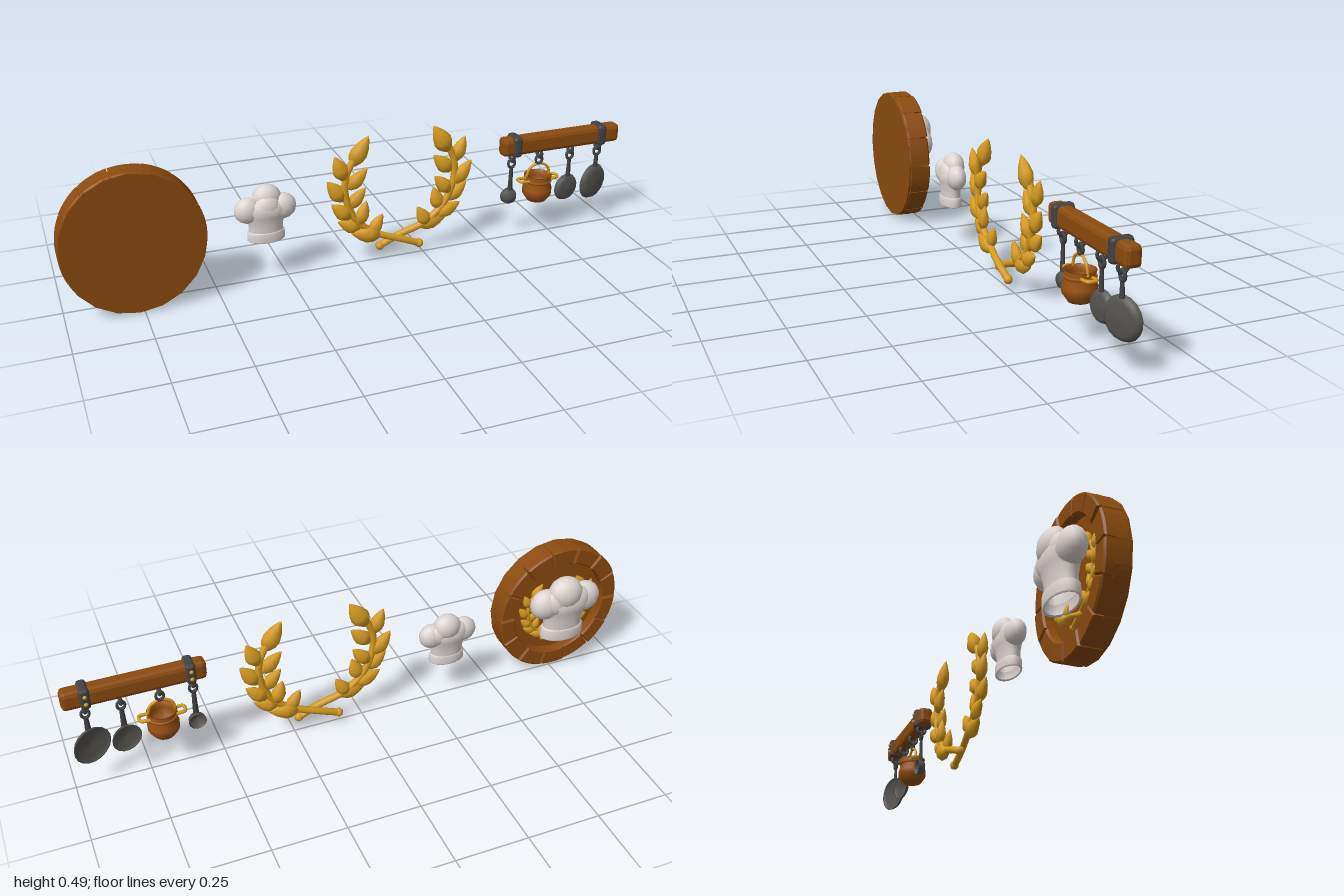
import * as THREE from 'three';
import { RoundedBoxGeometry } from 'three/addons/geometries/RoundedBoxGeometry.js';

const mat = (name, color, opts = {}) => {
  const m = new THREE.MeshStandardMaterial({ color, ...opts });
  m.name = name;
  return m;
};
const wood = mat('wood', 0x8b4b0e, { flatShading: true });
const copper = mat('copper', 0x9a5212, { side: THREE.DoubleSide });
const gold = mat('gold', 0xd79c20);
const cloth = mat('white cloth', 0xded5d2, { side: THREE.DoubleSide });
const iron = mat('dark iron', 0x434345);
const steel = mat('grey steel', 0x55534f, { side: THREE.DoubleSide });

const V2 = (pts) => pts.map(([x, y]) => new THREE.Vector2(x, y));

function add(parent, name, geo, material, x = 0, y = 0, z = 0) {
  const m = new THREE.Mesh(geo, material);
  m.name = name;
  m.position.set(x, y, z);
  parent.add(m);
  return m;
}

function group(parent, name, x = 0, y = 0, z = 0, s = 1) {
  const g = new THREE.Group();
  g.name = name;
  g.position.set(x, y, z);
  g.scale.setScalar(s);
  parent.add(g);
  return g;
}

function tube(points, r, sides = 8) {
  const curve = new THREE.CatmullRomCurve3(points.map((p) => new THREE.Vector3(...p)));
  return new THREE.TubeGeometry(curve, 20, r, sides);
}

// Puffy hat, open below, standing on y = 0
function makeHat(parent, name, x, y, z, s) {
  const hat = group(parent, name, x, y, z, s);
  const body = add(hat, 'hatBody', new THREE.LatheGeometry(V2([[0.058, 0.03], [0.059, 0.06], [0.068, 0.09], [0.08, 0.115], [0.06, 0.14], [0, 0.155]]), 20), cloth);
  body.scale.z = 0.55;
  const band = add(hat, 'hatBand', new THREE.LatheGeometry(V2([[0.056, 0.004], [0.06, 0], [0.065, 0.004], [0.064, 0.032], [0.058, 0.036]]), 20), cloth);
  band.scale.z = 0.58;
  // puffs: position, then radii
  [
    [-0.06, 0.114, 0, 0.046, 0.045, 0.034],
    [0.06, 0.114, 0, 0.046, 0.045, 0.034],
    [0.008, 0.146, -0.01, 0.05, 0.048, 0.038],
    [0.004, 0.12, 0.012, 0.045, 0.045, 0.03],
    [-0.028, 0.12, -0.012, 0.042, 0.04, 0.026],
    [0.035, 0.12, -0.012, 0.042, 0.04, 0.026],
  ].forEach(([px, py, pz, rx, ry, rz]) => {
    add(hat, 'hatPuff', new THREE.SphereGeometry(1, 14, 10), cloth, px, py, pz).scale.set(rx, ry, rz);
  });
}

// Wreath of two crossed, mirrored branches; leaves as base x, y then tip x, y
const LEAVES = [
  [-0.18, 0.37, -0.118, 0.472], [-0.205, 0.325, -0.243, 0.417],
  [-0.205, 0.245, -0.267, 0.327], [-0.185, 0.18, -0.255, 0.245],
  [-0.145, 0.13, -0.23, 0.172], [-0.195, 0.29, -0.125, 0.36],
  [-0.19, 0.215, -0.128, 0.285], [-0.155, 0.15, -0.128, 0.24],
  [-0.11, 0.1, -0.065, 0.178], [-0.075, 0.098, -0.185, 0.125],
];
const leafGeo = new THREE.LatheGeometry(V2([[0, 0], [0.12, 0.06], [0.25, 0.25], [0.28, 0.42], [0.21, 0.66], [0.09, 0.88], [0, 1]]), 8);

function makeWreath(parent, name, x, y, z, s) {
  const wreath = group(parent, name, x, y, z, s);
  for (const side of [1, -1]) {
    const branch = group(wreath, side > 0 ? 'rightBranch' : 'leftBranch', 0, 0, side * 0.008);
    if (side < 0) branch.rotation.y = Math.PI;
    const stem = [[0.07, 0.043, 0.006], [0, 0.073, 0.008], [-0.095, 0.11, 0], [-0.165, 0.17, 0], [-0.203, 0.265, 0], [-0.2, 0.34, 0], [-0.165, 0.41, 0]];
    add(branch, 'stem', tube(stem, 0.0125), gold);
    add(branch, 'stemEnd', new THREE.SphereGeometry(0.016, 8, 6), gold, 0.068, 0.044, 0.006);
    LEAVES.forEach(([bx, by, tx, ty], i) => {
      const leaf = add(branch, 'leaf', leafGeo, gold, bx, by, i % 2 ? 0.004 : -0.004);
      const len = Math.hypot(tx - bx, ty - by);
      leaf.rotation.z = Math.atan2(bx - tx, ty - by);
      leaf.scale.set(len, len, len * 0.7);
    });
  }
}

// Round plaque: flat front, recessed back with a rim of wooden blocks
function makePlaque(parent) {
  const plaque = group(parent, 'plaque', -0.766, 0.246, 0);
  const disc = group(plaque, 'board');
  disc.scale.y = 1.042;
  const board = add(disc, 'boardPanel', new THREE.CylinderGeometry(0.233, 0.235, 0.05, 20), wood, 0, 0, 0.058);
  board.rotation.x = Math.PI / 2;
  const count = 14, step = (Math.PI * 2) / count, gap = 0.028;
  for (let i = 0; i < count; i++) {
    const a = i * step + gap, b = (i + 1) * step - gap;
    const shape = new THREE.Shape();
    shape.absarc(0, 0, 0.229, a, b, false);
    shape.absarc(0, 0, 0.181, b, a, true);
    const geo = new THREE.ExtrudeGeometry(shape, {
      depth: 0.068, curveSegments: 3, bevelEnabled: true, bevelThickness: 0.006, bevelSize: 0.005, bevelSegments: 1,
    });
    add(disc, 'rimBlock', geo, wood, 0, 0, 0.007 - (i % 3) * 0.002);
  }
}

// Two interlocked links under the bar
function makeLinks(parent) {
  const link = new THREE.TorusGeometry(0.016, 0.006, 6, 12);
  add(parent, 'upperLink', link, iron, 0, 0.314, 0).rotation.y = Math.PI / 2;
  add(parent, 'lowerLink', link, iron, 0, 0.29, 0).scale.set(0.8, 1, 1);
}

// Shallow bowl opening to the back, on a straight handle
function makePan(parent, name, x, r, cy, depth, turn, material) {
  const pan = group(parent, name, x, 0, 0);
  makeLinks(pan);
  const top = 0.278, bottom = cy + r * 0.9;
  const handle = add(pan, 'handle', new THREE.CylinderGeometry(0.007, 0.01, top - bottom, 8), iron, 0, (top + bottom) / 2, 0);
  handle.scale.z = 0.7;
  const profile = V2([[0, 0], [r * 0.7, depth * 0.12], [r * 0.9, depth * 0.45], [r, depth], [r * 0.93, depth], [r * 0.8, depth * 0.6], [0, depth * 0.35]]);
  const bowl = group(pan, 'bowlPivot', 0, cy, 0);
  bowl.rotation.y = turn;
  add(bowl, 'bowl', new THREE.LatheGeometry(profile, 18), material, 0, 0, depth / 2).rotation.x = -Math.PI / 2;
}

function makePot(parent) {
  const pot = group(parent, 'cookingPot', 0.692, 0, 0);
  makeLinks(pot);
  add(pot, 'potBody', new THREE.LatheGeometry(V2([[0, 0.133], [0.035, 0.135], [0.052, 0.16], [0.053, 0.18], [0.044, 0.212], [0.05, 0.23], [0.044, 0.231], [0.038, 0.212], [0.045, 0.175], [0, 0.15]]), 16), copper);
  const collar = add(pot, 'potCollar', new THREE.TorusGeometry(0.046, 0.005, 6, 18), copper, 0, 0.211, 0);
  collar.rotation.x = Math.PI / 2;
  add(pot, 'bail', tube([[-0.047, 0.222, 0], [-0.035, 0.258, 0], [0, 0.275, 0], [0.035, 0.258, 0], [0.047, 0.222, 0]], 0.005, 6), gold);
  for (const s of [-1, 1]) {
    add(pot, 'sideHandle', tube([[s * 0.042, 0.215, 0.018], [s * 0.072, 0.217, 0.014], [s * 0.076, 0.217, 0], [s * 0.072, 0.217, -0.014], [s * 0.042, 0.215, -0.018]], 0.006, 6), gold);
  }
}

// Hanging bar with iron straps, pot, ladle and two pans
function makeRack(parent) {
  const rack = group(parent, 'utensilRack');
  add(rack, 'bar', new RoundedBoxGeometry(0.46, 0.066, 0.052, 1, 0.014), wood, 0.765, 0.36, 0.005);
  for (const x of [0.588, 0.922]) {
    add(rack, 'strap', new RoundedBoxGeometry(0.034, 0.076, 0.07, 1, 0.012), iron, x, 0.361, 0.005);
    for (const y of [0.347, 0.375]) {
      add(rack, 'rivet', new THREE.SphereGeometry(0.007, 8, 6), gold, x, y, -0.03);
    }
  }
  makePan(rack, 'ladle', 0.583, 0.03, 0.16, 0.03, 0, steel);
  makePot(rack);
  makePan(rack, 'smallPan', 0.816, 0.051, 0.16, 0.02, 0.2, steel);
  makePan(rack, 'largePan', 0.928, 0.067, 0.166, 0.022, 0.35, steel);
}

export function createModel() {
  const model = new THREE.Group();
  model.name = 'kitchenSignSet';
  makePlaque(model);
  makeWreath(model, 'plaqueWreath', -0.766, 0.085, 0.02, 0.58);
  makeHat(model, 'plaqueHat', -0.77, 0.152, -0.022, 1.28);
  makeHat(model, 'looseHat', -0.32, 0.15, 0, 1);
  makeWreath(model, 'looseWreath', 0.16, 0, 0, 1);
  makeRack(model);
  return model;
}
